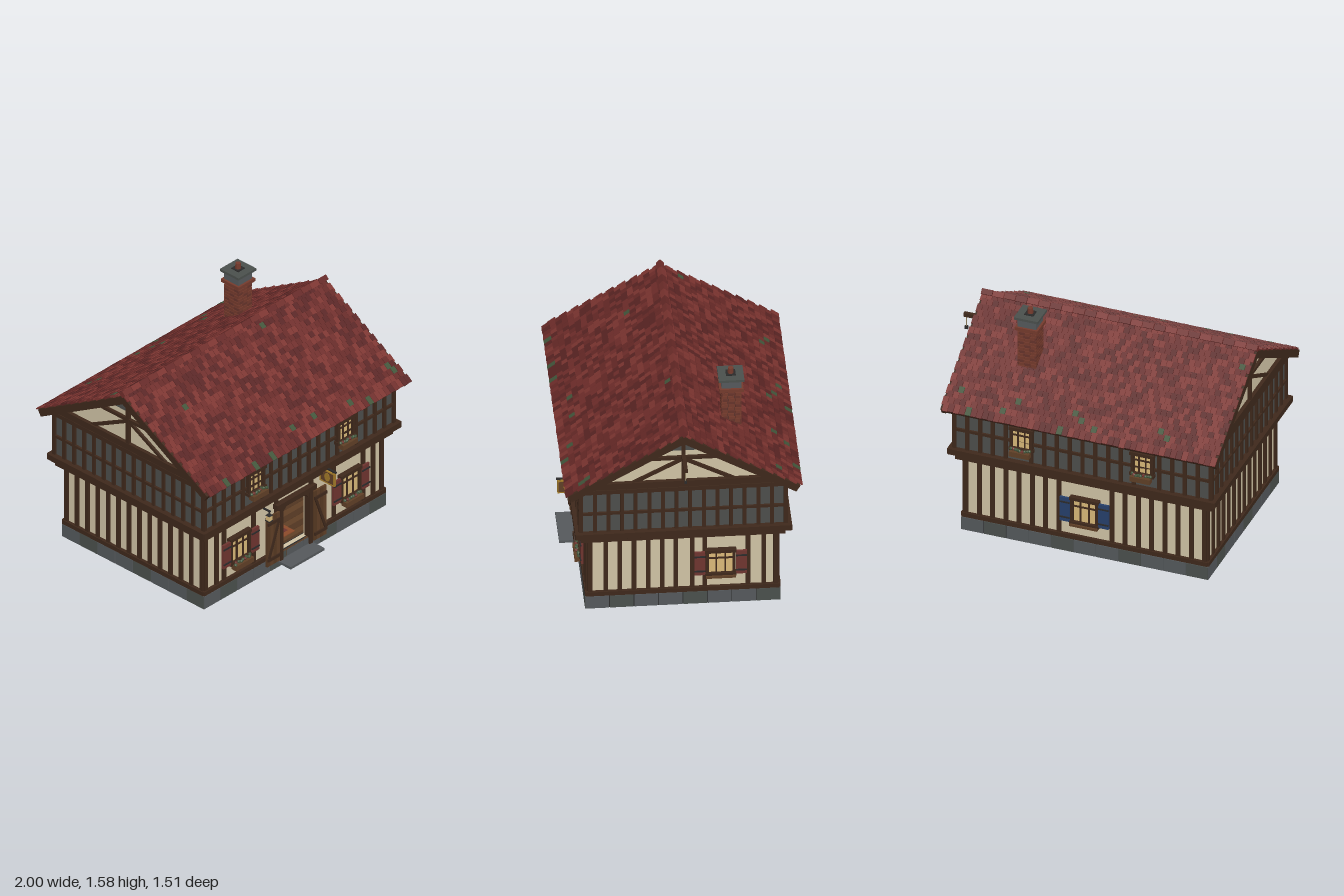
import * as THREE from 'three';
import { mergeGeometries } from 'three/addons/utils/BufferGeometryUtils.js';

const C = { wood: 0x3e281b, cream: 0xcfc2a4, slate: 0x4c4d4b, stone: 0x54585b, stone2: 0x4a4f4c, pane: 0xd8b878,
  plank: 0x5f3f26, red: 0x6e342f, blue: 0x263f6b, iron: 0x2b2a2a, gold: 0xa07828, leaf: 0x41543a, brick: 0x743a2c };
const CX = -0.06, CZ = -0.007; // centre of the house body
const mats = {};
const mat = (color) => (mats[color] ??= new THREE.MeshStandardMaterial({ color, flatShading: true }));
let seed = 7;
const rnd = () => (seed = (seed * 16807) % 2147483647) / 2147483647;

function add(parent, name, geo, color, x = 0, y = 0, z = 0) {
  const m = new THREE.Mesh(geo, mat(color));
  m.name = name;
  m.position.set(x, y, z);
  parent.add(m);
  return m;
}
const box = (p, name, w, h, d, x, y, z, color) => add(p, name, new THREE.BoxGeometry(w, h, d), color, x, y, z);

function group(parent, name, x = 0, y = 0, z = 0, ry = 0) {
  const g = new THREE.Group();
  g.name = name;
  g.position.set(x, y, z);
  g.rotation.y = ry;
  parent.add(g);
  return g;
}

// slanted timber between two points of a wall
function brace(p, name, x1, y1, x2, y2, w, d, z, color = C.wood) {
  const m = box(p, name, Math.hypot(x2 - x1, y2 - y1), w, d, (x1 + x2) / 2, (y1 + y2) / 2, z, color);
  m.rotation.z = Math.atan2(y2 - y1, x2 - x1);
  return m;
}

// wall frame: local x runs along the wall, local z points outwards
const wallFrames = (parent, name, hx, hz) => [
  group(parent, name + 'Front', CX, 0, CZ + hz, 0), group(parent, name + 'Right', CX + hx, 0, CZ, Math.PI / 2),
  group(parent, name + 'Back', CX, 0, CZ - hz, Math.PI), group(parent, name + 'Left', CX - hx, 0, CZ, -Math.PI / 2)];

function windowUnit(wall, x, y, w, h, { shutters, flowers }) {
  const g = group(wall, 'window', x, y, 0);
  box(g, 'windowPane', w - 0.02, h - 0.02, 0.07, 0, 0, -0.02, C.pane);
  for (const s of [-1, 1]) {
    box(g, 'windowJamb', 0.02, h, 0.03, s * (w / 2 - 0.01), 0, 0.015, C.wood);
    box(g, 'windowRail', w + 0.01, 0.022, 0.036, 0, s * (h / 2 - 0.011), 0.018, C.wood);
    box(g, 'glazingBar', 0.009, h, 0.012, s * w * 0.15, 0, 0.018, C.wood);
    if (!shutters) continue;
    const sx = s * (w / 2 + 0.037);
    box(g, 'shutter', 0.07, h * 0.88, 0.016, sx, 0, 0.026, shutters);
    for (const k of [-1, 1]) box(g, 'shutterBatten', 0.07, 0.01, 0.008, sx, k * h * 0.28, 0.036, C.iron);
  }
  box(g, 'glazingBar', w, 0.009, 0.012, 0, h * 0.16, 0.018, C.wood);
  if (!flowers) { box(g, 'windowSill', w, 0.015, 0.045, 0, -h / 2 - 0.002, 0.025, C.plank); return; }
  box(g, 'flowerBox', w * 0.88, 0.035, 0.045, 0, -h / 2 - 0.01, 0.045, C.plank);
  for (let i = 0; i < 9; i++) {
    const f = add(g, 'flowers', new THREE.IcosahedronGeometry(0.012, 0), i % 4 === 1 ? C.red : C.leaf,
      (i / 8 - 0.5) * w * 0.8, -h / 2 + 0.012 + rnd() * 0.008, 0.045 + (rnd() - 0.5) * 0.02);
    f.rotation.set(i, i * 2, 0);
  }
}

function buildGround(house) {
  const g = group(house, 'groundFloor');
  // hollow stone plinth and plank floor
  wallFrames(g, 'plinth', 0.84, 0.622).forEach((f, i) => {
    const L = i % 2 ? 1.244 : 1.68, n = i % 2 ? 8 : 11;
    box(f, 'plinthCore', L - 0.02, 0.1, 0.05, 0, 0.05, -0.035, C.iron);
    for (let k = 0; k < n; k++)
      box(f, 'plinthStone', L / n - 0.005, 0.092, 0.02, ((k + 0.5) / n - 0.5) * L, 0.05, -0.01, k % 3 === 1 ? C.stone2 : C.stone);
  });
  for (let i = 0; i < 24; i++)
    box(g, 'floorPlank', 1.58, 0.03, 0.046, CX, 0.03, CZ + (i - 11.5) * 0.0485, i % 2 ? C.plank : 0x503520);

  const studs = [
    [-0.81, -0.71, -0.64, -0.37, -0.16, 0.16, 0.37, 0.64, 0.73, 0.81],
    [-0.59, -0.49, -0.4, -0.31, -0.22, -0.13, -0.045, 0.06, 0.14, 0.415, 0.515, 0.59],
    [-0.81, -0.72, -0.63, -0.54, -0.45, -0.36, -0.27, -0.18, 0.18, 0.27, 0.36, 0.45, 0.54, 0.63, 0.72, 0.81],
    Array.from({ length: 14 }, (_, i) => -0.59 + i * 0.0908)];
  const walls = wallFrames(g, 'wall', 0.82, 0.6);
  walls.forEach((f, i) => {
    const L = i % 2 ? 0.6 : 0.82;
    const shape = new THREE.Shape([[-L, 0.1], [L, 0.1], [L, 0.59], [-L, 0.59]].map(([a, b]) => new THREE.Vector2(a, b)));
    if (i === 0) shape.holes.push(new THREE.Path([[-0.13, 0.101], [-0.13, 0.45], [0.13, 0.45], [0.13, 0.101]].map(([a, b]) => new THREE.Vector2(a, b))));
    add(f, 'plasterWall', new THREE.ExtrudeGeometry(shape, { depth: 0.03, bevelEnabled: false }), C.cream, 0, 0, -0.03);
    for (const x of studs[i]) box(f, 'stud', 0.028, 0.44, 0.02, x, 0.33, 0.005, C.wood);
    if (i) box(f, 'sillBeam', 2 * L + 0.03, 0.03, 0.035, 0, 0.115, 0.005, C.wood);
    else for (const s of [-1, 1]) box(f, 'sillBeam', 0.7, 0.03, 0.035, s * 0.485, 0.115, 0.005, C.wood);
    box(f, 'wallPlate', 2 * L + 0.1, 0.035, 0.06, 0, 0.557, 0.02, C.wood);
    const n = Math.round(L * 24);
    for (let k = 0; k <= n; k++) box(f, 'joistEnd', 0.03, 0.026, 0.07, (k / n - 0.5) * 2 * L, 0.583, 0.035, C.wood);
  });
  const [front, right, back] = walls;
  for (const s of [-1, 1]) windowUnit(front, s * 0.508, 0.32, 0.185, 0.2, { shutters: C.red, flowers: true });
  windowUnit(right, 0.24, 0.32, 0.19, 0.2, { shutters: C.red });
  windowUnit(back, 0, 0.32, 0.19, 0.2, { shutters: C.blue });
  buildEntrance(front);
  // furnishings behind the door
  box(g, 'rug', 0.34, 0.006, 0.5, CX, 0.049, 0.2, 0x8a4a2a);
  box(g, 'rugField', 0.28, 0.006, 0.43, CX, 0.052, 0.2, C.red);
  box(g, 'counter', 0.42, 0.15, 0.14, CX, 0.12, -0.3, 0x6b3a20);
  box(g, 'counterTop', 0.46, 0.016, 0.17, CX, 0.203, -0.3, 0x7c4a28);
  for (let i = 0; i < 4; i++) box(g, 'counterPanel', 0.08, 0.1, 0.01, CX + (i - 1.5) * 0.1, 0.12, -0.228, 0x7c4a28);
}

function buildEntrance(front) {
  const e = group(front, 'entrance');
  box(e, 'doorLintel', 0.36, 0.035, 0.05, 0, 0.462, 0.015, C.wood);
  box(e, 'threshold', 0.26, 0.05, 0.06, 0, 0.075, -0.01, C.plank);
  box(e, 'doorStep', 0.31, 0.018, 0.13, 0, 0.04, 0.065, C.stone);
  for (const s of [-1, 1]) {
    box(e, 'doorPost', 0.028, 0.4, 0.045, s * 0.135, 0.25, 0.012, C.wood);
    brace(e, 'doorBracket', s * 0.125, 0.41, s * 0.09, 0.45, 0.02, 0.035, 0.012);
    const d = group(e, 'doorLeaf', s * 0.215, 0.245, 0.03);
    for (let i = 0; i < 4; i++) box(d, 'doorPlank', 0.028, 0.37, 0.014, (i - 1.5) * 0.0295, 0, 0, i % 2 ? C.plank : 0x563821);
    for (const k of [-1, 1]) box(d, 'doorLedge', 0.112, 0.022, 0.01, 0, k * 0.135, 0.011, C.wood);
    brace(d, 'doorBrace', -s * 0.045, 0.125, s * 0.045, -0.125, 0.018, 0.009, 0.011);
  }
  // lantern on a bracket
  const l = group(e, 'lantern', -0.29, 0.465, 0.07);
  box(l, 'lanternArm', 0.01, 0.01, 0.08, 0, 0.045, -0.03, C.iron);
  box(l, 'lanternHanger', 0.006, 0.03, 0.006, 0, 0.032, 0, C.iron);
  box(l, 'lanternGlass', 0.028, 0.038, 0.028, 0, -0.004, 0, C.pane);
  add(l, 'lanternRoof', new THREE.ConeGeometry(0.026, 0.018, 4), C.iron, 0, 0.023, 0).rotation.y = Math.PI / 4;
  box(l, 'lanternBase', 0.036, 0.006, 0.036, 0, -0.026, 0, C.iron);
  // hanging sign, square to the wall
  const s = group(e, 'hangingSign', 0.233, 0.53, 0.086);
  box(s, 'signArm', 0.012, 0.01, 0.16, 0, 0.061, -0.008, C.iron);
  for (const z of [-0.045, 0.045]) box(s, 'signHanger', 0.005, 0.02, 0.005, 0, 0.05, z, C.iron);
  box(s, 'signBoard', 0.012, 0.085, 0.115, 0, 0, 0, C.plank);
  for (const k of [-1, 1]) {
    box(s, 'signBorder', 0.018, 0.008, 0.125, 0, k * 0.043, 0, C.gold);
    box(s, 'signBorder', 0.018, 0.09, 0.008, 0, 0, k * 0.059, C.gold);
  }
  const oval = add(s, 'signOval', new THREE.CylinderGeometry(0.024, 0.024, 0.018, 12), C.gold);
  oval.rotation.z = Math.PI / 2;
  oval.scale.x = 1.3;
}

function buildUpper(house) {
  const g = group(house, 'upperFloor');
  box(g, 'upperWall', 1.74, 0.37, 1.3, CX, 0.78, CZ, C.slate);
  // gable prism under the rafters
  const gable = new THREE.ExtrudeGeometry(new THREE.Shape([new THREE.Vector2(-0.65, 0.95), new THREE.Vector2(0.65, 0.95), new THREE.Vector2(0, 1.33)]),
    { depth: 1.74, bevelEnabled: false });
  add(g, 'gableWall', gable, C.cream, CX - 0.87, 0, CZ).rotation.y = Math.PI / 2;

  wallFrames(g, 'upper', 0.87, 0.65).forEach((f, i) => {
    const L = i % 2 ? 0.65 : 0.87, n = i % 2 ? 15 : 20;
    for (let k = 0; k <= n; k++) {
      const x = (k / n - 0.5) * 2 * L;
      if (i % 2 || Math.abs(Math.abs(x) - 0.41) > 0.06) box(f, 'upperStud', 0.024, 0.33, 0.02, x, 0.785, 0.005, C.wood);
    }
    box(f, 'jettyBeam', 2 * L + 0.07, 0.04, 0.06, 0, 0.61, 0.01, C.wood);
    box(f, 'midRail', 2 * L, 0.018, 0.018, 0, 0.77, 0.006, C.wood);
    box(f, 'topPlate', 2 * L + 0.03, 0.03, 0.03, 0, 0.94, 0.005, C.wood);
    if (i % 2 === 0) {
      for (const s of [-1, 1]) windowUnit(f, s * 0.411, 0.8, 0.155, 0.17, { flowers: true });
      return;
    }
    const tip = new THREE.Shape([new THREE.Vector2(-0.17, 1.232), new THREE.Vector2(0.17, 1.232), new THREE.Vector2(0, 1.33)]);
    add(f, 'gableTip', new THREE.ExtrudeGeometry(tip, { depth: 0.006, bevelEnabled: false }), C.slate);
    box(f, 'tieBeam', 1.28, 0.045, 0.035, 0, 0.985, 0.008, C.wood);
    box(f, 'collarBeam', 0.54, 0.022, 0.025, 0, 1.18, 0.008, C.wood);
    box(f, 'kingPost', 0.026, 0.34, 0.03, 0, 1.16, 0.008, C.wood);
    for (const s of [-1, 1]) {
      brace(f, 'gableBrace', s * 0.32, 1.0, s * 0.01, 1.165, 0.022, 0.02, 0.006);
      brace(f, 'gableStrut', s * 0.22, 1.185, s * 0.31, 1.15, 0.02, 0.02, 0.006);
      brace(f, 'gableRafter', s * 0.65, 0.965, 0, 1.34, 0.03, 0.03, 0.01);
    }
  });
}

function buildRoof(house) {
  const roof = group(house, 'roof', CX, 1.382, CZ);
  const LEN = 0.86, ROWS = 20, COLS = 48, W = 1.86;
  const reds = [0x6f2d2a, 0x7c3430, 0x652826, 0x592423, C.leaf];
  for (const ry of [0, Math.PI]) {
    const slope = group(group(roof, 'roofSide', 0, 0, 0, ry), 'roofSlope');
    slope.rotation.x = Math.PI / 6;
    box(slope, 'roofDeck', W - 0.02, 0.026, LEN - 0.015, 0, -0.016, LEN / 2 - 0.008, 0x4a2a20);
    box(slope, 'eavesBoard', W, 0.045, 0.025, 0, -0.025, LEN - 0.02, C.wood);
    for (const s of [-1, 1]) box(slope, 'bargeBoard', 0.03, 0.05, LEN, s * 0.92, -0.028, LEN / 2 - 0.005, C.wood);
    // overlapping tiles, collected by colour
    const tiles = reds.map(() => []);
    for (let r = 0; r < ROWS; r++) for (let c = 0; c < COLS; c++) {
      const len = 0.055 + rnd() * 0.008, w = W / COLS;
      const t = new THREE.BoxGeometry(w - 0.003, 0.009, len);
      t.rotateX(0.12);
      const shift = r % 2 ? 0.008 : -0.008;
      t.translate((c + 0.5 - COLS / 2) * w + shift, 0.004 + rnd() * 0.002, (r + 0.5) * LEN / ROWS);
      const mossy = rnd() < (r > ROWS - 5 ? 0.035 : 0.002);
      tiles[mossy ? 4 : Math.floor(rnd() * 4)].push(t);
    }
    tiles.forEach((list, i) => list.length && add(slope, 'roofTiles', mergeGeometries(list), reds[i]));
  }
  for (let i = 0; i < 24; i++)
    box(roof, 'ridgeTile', 0.074, 0.036, 0.036, (i - 11.5) * 0.0783, 0.012 + (i % 2) * 0.002, 0, reds[i % 3]).rotation.x = Math.PI / 4;
}

function buildChimney(house) {
  const g = group(house, 'chimney', 0.42, 0, -0.34);
  box(g, 'chimneyCore', 0.115, 0.34, 0.115, 0, 1.27, 0, 0x4b3029);
  // brick courses, staggered
  for (let r = 0; r < 15; r++) for (let side = 0; side < 4; side++) {
    const f = group(g, 'brickCourse', 0, 1.115 + r * 0.0225, 0, side * Math.PI / 2);
    for (let k = 0; k < 3; k++)
      box(f, 'brick', 0.039, 0.019, 0.01, (k - 1) * 0.041 + (r % 2 ? 0.003 : -0.003), 0, 0.058, (r + k + side) % 3 ? C.brick : 0x66332a);
  }
  box(g, 'chimneyBand', 0.155, 0.022, 0.155, 0, 1.446, 0, C.brick);
  box(g, 'chimneyNeck', 0.125, 0.06, 0.125, 0, 1.485, 0, C.stone);
  box(g, 'chimneyCap', 0.163, 0.017, 0.163, 0, 1.523, 0, C.stone2);
  box(g, 'flueBase', 0.062, 0.006, 0.062, 0, 1.534, 0, C.iron);
  add(g, 'chimneyPot', new THREE.CylinderGeometry(0.017, 0.02, 0.045, 10), C.brick, 0, 1.553, 0);
}

function buildHoist(house) {
  const g = group(house, 'hoist', 0, 1.2, CZ);
  box(g, 'hoistBeam', 0.2, 0.026, 0.026, 0.9, 0, 0, C.wood);
  box(g, 'hoistRope', 0.006, 0.08, 0.006, 0.983, -0.05, 0, 0x8a7a5a);
  box(g, 'hoistHook', 0.02, 0.022, 0.014, 0.983, -0.095, 0, C.iron);
}

export function createModel() {
  const house = new THREE.Group();
  house.name = 'timberFramedHouse';
  [buildGround, buildUpper, buildRoof, buildChimney, buildHoist].forEach((build) => build(house));
  return house;
}
